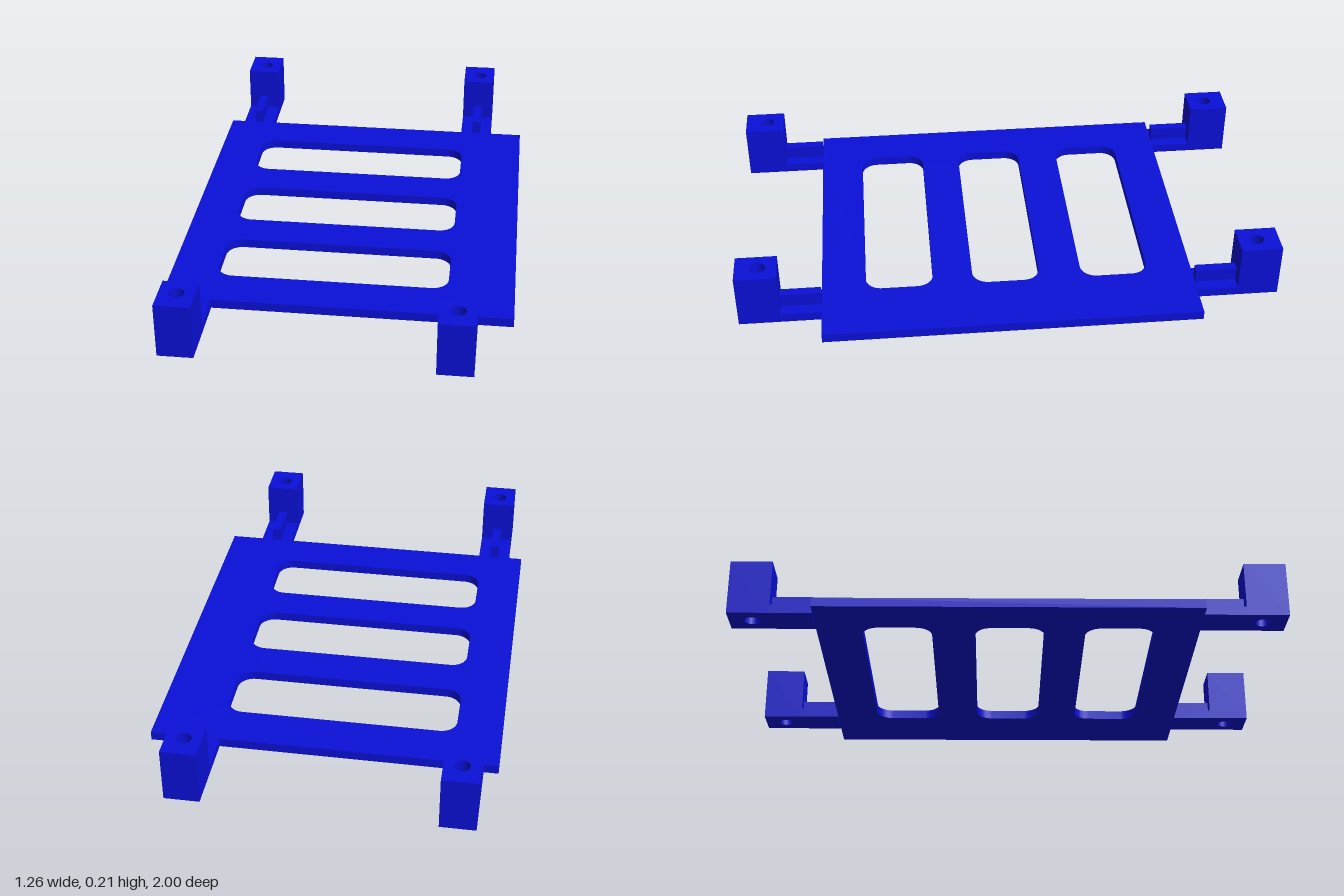
import * as THREE from 'three';
import { toCreasedNormals } from 'three/addons/utils/BufferGeometryUtils.js';

const material = new THREE.MeshStandardMaterial({ color: 0x0a10d8 });
const THICK = 0.034;

// Rectangle between two corners (x, z), optionally with rounded corners
function rect(path, x0, z0, x1, z1, r = 0) {
  const a = -z1, b = -z0; // shape y is -z
  if (r === 0) {
    path.moveTo(x0, a).lineTo(x1, a).lineTo(x1, b).lineTo(x0, b).closePath();
    return path;
  }
  path.moveTo(x0 + r, a);
  path.absarc(x1 - r, a + r, r, -Math.PI / 2, 0, false);
  path.absarc(x1 - r, b - r, r, 0, Math.PI / 2, false);
  path.absarc(x0 + r, b - r, r, Math.PI / 2, Math.PI, false);
  path.absarc(x0 + r, a + r, r, Math.PI, Math.PI * 1.5, false);
  return path;
}

// Extrude a floor-plan shape upwards from y = 0
function raise(name, shape, height) {
  const geometry = new THREE.ExtrudeGeometry(shape, { depth: height, bevelEnabled: false, curveSegments: 10 });
  geometry.rotateX(-Math.PI / 2);
  const mesh = new THREE.Mesh(toCreasedNormals(geometry, 0.6), material);
  mesh.name = name;
  return mesh;
}

function box(name, w, h, d, x, y, z) {
  const mesh = new THREE.Mesh(new THREE.BoxGeometry(w, h, d), material);
  mesh.position.set(x, y, z);
  mesh.name = name;
  return mesh;
}

export function createModel() {
  const model = new THREE.Group();
  model.name = 'mountingTray';

  // Flat plate with three rounded slots
  const plate = rect(new THREE.Shape(), -0.631, -0.695, 0.631, 0.697);
  for (const z of [-0.403, 0.007, 0.408]) {
    plate.holes.push(rect(new THREE.Path(), -0.463, z - 0.126, 0.389, z + 0.126, 0.06));
  }
  model.add(raise('plate', plate, THICK));

  // Four mounts: arm, stiffening rib and drilled post
  for (const [side, x] of [['right', -0.514], ['left', 0.441]]) {
    for (const [end, s] of [['front', 1], ['back', -1]]) {
      const mount = new THREE.Group();
      mount.name = `${end}${side === 'left' ? 'Left' : 'Right'}Mount`;

      const post = rect(new THREE.Shape(), x - 0.064, Math.min(s, s * 0.848), x + 0.064, Math.max(s, s * 0.848));
      post.holes.push(new THREE.Path().absarc(x, -s * 0.916, 0.028, 0, Math.PI * 2, true));
      mount.add(raise('post', post, 0.206));

      mount.add(box('arm', 0.128, THICK, 0.152, x, THICK / 2, s * 0.772));
      mount.add(box('rib', 0.034, 0.087 - THICK, 0.152, x, (0.087 + THICK) / 2, s * 0.772));
      model.add(mount);
    }
  }
  return model;
}
